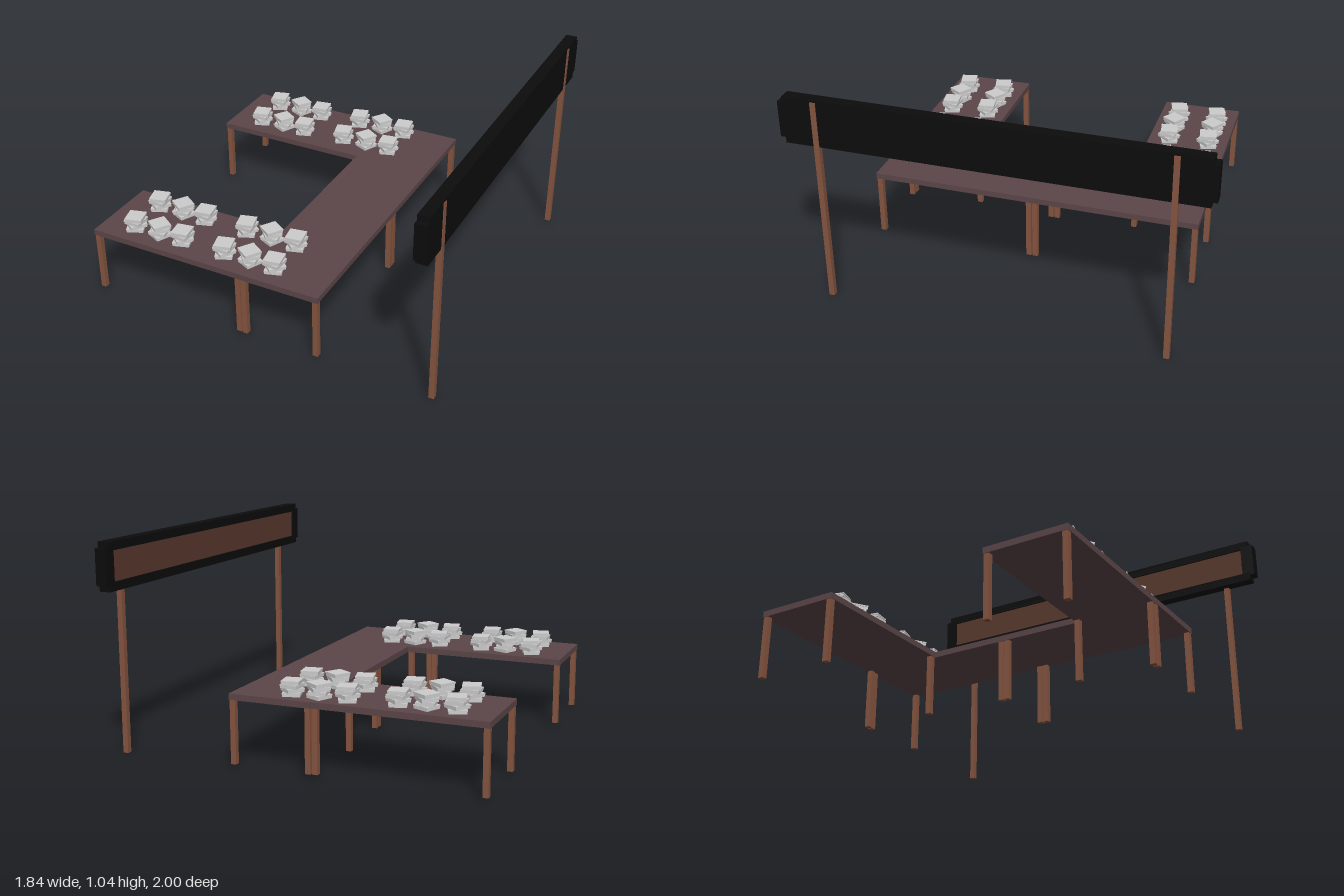
import * as THREE from 'three';

const mat = (color) => new THREE.MeshStandardMaterial({ color });
const topMat = mat(0x5c4648), woodMat = mat(0x855440), blackMat = mat(0x0c0c0c);
const panelMat = mat(0x5a3a2e), boxMat = mat(0xcccccc);

// Box given by its min and max corners
function block(parent, name, material, [x0, y0, z0], [x1, y1, z1]) {
  const mesh = new THREE.Mesh(new THREE.BoxGeometry(x1 - x0, y1 - y0, z1 - z0), material);
  mesh.position.set((x0 + x1) / 2, (y0 + y1) / 2, (z0 + z1) / 2);
  mesh.name = name;
  parent.add(mesh);
  return mesh;
}

// Table with a thin top and four square legs at its corners
function table(x0, x1, z0, z1) {
  const g = new THREE.Group();
  g.name = 'table';
  block(g, 'tableTop', topMat, [x0, 0.325, z0], [x1, 0.355, z1]);
  const w = 0.027, inset = 0.003;
  for (const x of [x0 + inset, x1 - inset - w])
    for (const z of [z0 + inset, z1 - inset - w])
      block(g, 'tableLeg', woodMat, [x, 0.015, z], [x + w, 0.325, z + w]);
  return g;
}

// Pile of four flat boxes, each turned differently
function boxStack(x, z, turn) {
  const g = new THREE.Group();
  g.name = 'boxStack';
  const turns = [8, 42, -14, 0], h = 0.0185;
  turns.forEach((t, i) => {
    const box = new THREE.Group();
    box.name = 'flatBox';
    const s = 0.041, lid = 0.043;
    block(box, 'boxTray', boxMat, [-s, 0, -s], [s, h * 0.6, s]);
    block(box, 'boxLid', boxMat, [-lid, h * 0.6, -lid], [lid, h, lid]);
    box.position.y = i * h;
    box.rotation.y = THREE.MathUtils.degToRad(t);
    g.add(box);
  });
  g.position.set(x, 0.355, z);
  g.rotation.y = THREE.MathUtils.degToRad(turn);
  return g;
}

// Long sign with stepped corners, facing -x, carried by two posts
function sign() {
  const g = new THREE.Group();
  g.name = 'sign';
  block(g, 'signBack', blackMat, [0.869, 0.812, -0.975], [0.912, 1.045, 0.975]);
  for (const [y0, y1] of [[0.812, 0.855], [1.002, 1.045]])
    block(g, 'signRail', blackMat, [0.855, y0, -0.975], [0.912, y1, 0.975]);
  for (const s of [-1, 1]) {
    const z = [s * 0.935, s].sort((a, b) => a - b);
    block(g, 'signEnd', blackMat, [0.855, 0.84, z[0]], [0.912, 1.017, z[1]]);
    block(g, 'signPost', woodMat, [0.889, 0, s * 0.823 - 0.0135], [0.916, 1.035, s * 0.823 + 0.0135]);
  }
  block(g, 'signPanel', panelMat, [0.864, 0.855, -0.935], [0.872, 1.002, 0.935]);
  return g;
}

export function createModel() {
  const model = new THREE.Group();
  model.name = 'foodStand';

  // Two side tables and two rear tables forming a U
  model.add(table(-0.92, -0.085, -0.832, -0.415), table(-0.92, -0.085, 0.413, 0.83));
  model.add(table(-0.085, 0.328, -0.838, -0.002), table(-0.085, 0.328, -0.002, 0.832));

  // Box piles: two clusters of two rows by three on each side
  const turns = [15, -33, 9];
  for (const [xs, far] of [[[-0.74, -0.6, -0.467], -0.733], [[-0.23, -0.09, 0.044], -0.75]])
    for (const z of [far, far + 0.21, 0.513, 0.723])
      xs.forEach((x, i) => model.add(boxStack(x, z, turns[i])));

  model.add(sign());
  return model;
}
